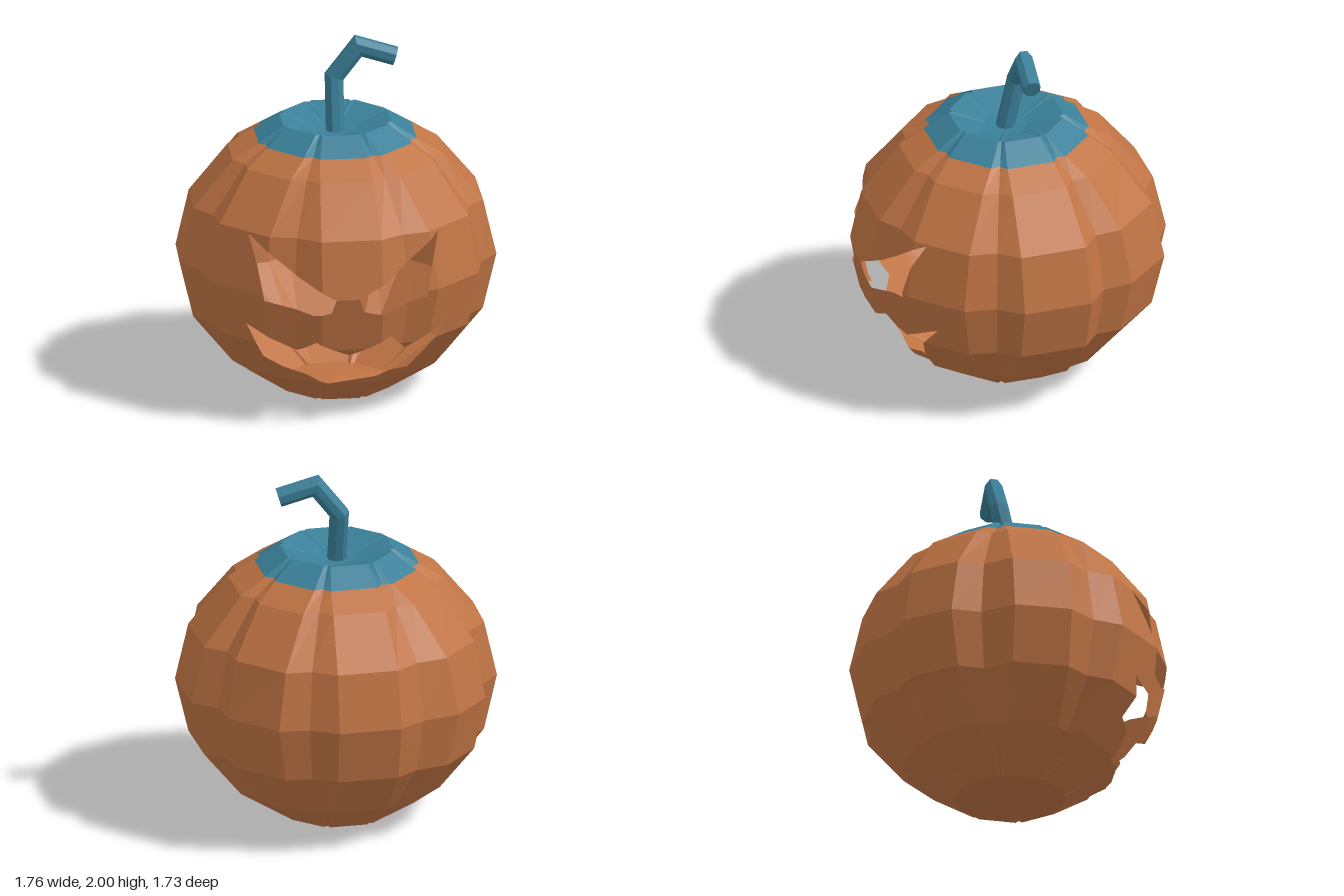
import * as THREE from 'three';

const skin = new THREE.MeshStandardMaterial({ color: 0xc07444, flatShading: true, side: THREE.DoubleSide });
const green = new THREE.MeshStandardMaterial({ color: 0x3a8099, flatShading: true, side: THREE.DoubleSide });

// Lobed outline at the widest height, [x, z] from the front towards +x
const plan = [
  [-0.16, 0.865], [0.18, 0.86], [0.33, 0.77], [0.5, 0.73], [0.75, 0.48], [0.78, 0.3],
  [0.88, 0.17], [0.875, -0.22], [0.75, -0.33], [0.73, -0.5], [0.5, -0.76], [0.33, -0.78],
  [0.18, -0.87], [-0.17, -0.87], [-0.32, -0.77], [-0.53, -0.72], [-0.73, -0.5], [-0.73, -0.33],
  [-0.87, -0.17], [-0.88, 0.15], [-0.77, 0.3], [-0.74, 0.47], [-0.48, 0.73], [-0.31, 0.77],
];

// One ring: the outline scaled by s, blended by k into a plain octagon
function ring([y, s, k]) {
  return plan.map(([x, z], i) => {
    const lobe = Math.floor(i / 3) * 45, part = i % 3;
    const a = THREE.MathUtils.degToRad(lobe + [-19, 19, 22.5][part]);
    const r = part === 2 ? 0.82 : 0.88;
    return new THREE.Vector3(
      s * THREE.MathUtils.lerp(x, r * Math.sin(a), k), y,
      s * THREE.MathUtils.lerp(z, r * Math.cos(a), k));
  });
}

// Triangles between neighbouring rings
function bands(rings) {
  const tris = [];
  for (let j = 0; j + 1 < rings.length; j++) {
    const lo = rings[j], hi = rings[j + 1], n = lo.length;
    for (let i = 0; i < n; i++) {
      const m = (i + 1) % n;
      tris.push([lo[i], lo[m], hi[m]], [lo[i], hi[m], hi[i]]);
    }
  }
  return tris;
}

// Convex polygons to a mesh
function polyMesh(name, polys, material) {
  const pos = [];
  for (const p of polys)
    for (let i = 1; i + 1 < p.length; i++)
      for (const v of [p[0], p[i], p[i + 1]]) pos.push(v.x, v.y, v.z);
  const geo = new THREE.BufferGeometry();
  geo.setAttribute('position', new THREE.Float32BufferAttribute(pos, 3));
  geo.computeVertexNormals();
  const mesh = new THREE.Mesh(geo, material);
  mesh.name = name;
  return mesh;
}

// Split a convex polygon by the line a-b in the xy plane: [left side, right side]
function split(poly, a, b) {
  const side = (p) => (b.x - a.x) * (p.y - a.y) - (b.y - a.y) * (p.x - a.x);
  const left = [], right = [];
  poly.forEach((p, i) => {
    const q = poly[(i + 1) % poly.length], dp = side(p), dq = side(q);
    if (dp >= 0) left.push(p);
    if (dp <= 0) right.push(p);
    if (dp * dq < 0) {
      const c = p.clone().lerp(q, dp / (dp - dq));
      left.push(c);
      right.push(c);
    }
  });
  return [left, right];
}

// Carve an outline straight through the front faces
function carve(polys, outline) {
  const pts = outline.map(([x, y]) => new THREE.Vector2(x, y));
  for (const tri of THREE.ShapeUtils.triangulateShape(pts, [])) {
    const t = tri.map((i) => pts[i]);
    if (THREE.ShapeUtils.area(t) < 0) t.reverse();
    const kept = [];
    for (const poly of polys) {
      if (poly.some((p) => p.z < 0.2)) { kept.push(poly); continue; }
      // Keep the face whole when it does not meet the cutter
      let rest = poly;
      const outside = [];
      for (let e = 0; e < 3 && rest.length > 2; e++) {
        const [inner, outer] = split(rest, t[e], t[(e + 1) % 3]);
        if (outer.length > 2) outside.push(outer);
        rest = inner;
      }
      if (rest.length > 2) kept.push(...outside);
      else kept.push(poly);
    }
    polys = kept;
  }
  return polys;
}

// Angled stem: each ring slides along its segment to the mitre plane of the joint
function stemPolys() {
  const path = [[0, 1.46, 0.01], [0, 1.77, -0.06], [0.135, 1.945, -0.06], [0.34, 1.885, -0.04]]
    .map((p) => new THREE.Vector3(...p));
  const dirs = path.slice(1).map((p, i) => p.clone().sub(path[i]).normalize());
  const sides = 8, rings = [[]];
  for (let i = 0; i < sides; i++) {
    const a = (i + 0.5) / sides * Math.PI * 2;
    rings[0].push(new THREE.Vector3(0.054 * Math.sin(a), 0, 0.054 * Math.cos(a)).add(path[0]));
  }
  dirs.forEach((d, i) => {
    const n = d.clone().add(dirs[i + 1] || d).normalize();
    rings.push(rings[i].map((p) =>
      p.clone().addScaledVector(d, path[i + 1].clone().sub(p).dot(n) / d.dot(n))));
  });
  return [...bands(rings), rings[rings.length - 1]];
}

export function createModel() {
  const group = new THREE.Group();

  // Hollow lobed shell: [height, scale, octagon blend], from the underside up
  let shell = bands([
    [0.03, 0, 1], [0.005, 0.36, 1], [0.195, 0.68, 0.4], [0.465, 0.92, 0.1], [0.78, 1, 0],
    [1.1, 0.92, 0.1], [1.37, 0.68, 0.4], [1.46, 0.52, 0.7],
  ].map(ring));

  // Carved eyes and mouth
  const eye = [[0.525, 1.09], [0.265, 0.89], [0.065, 0.78], [0.09, 0.7], [0.185, 0.677], [0.453, 0.745], [0.485, 0.93]];
  const mouth = [[-0.555, 0.57], [-0.28, 0.44], [-0.185, 0.51], [0, 0.42], [0.23, 0.53],
    [0.315, 0.43], [0.585, 0.585], [0.34, 0.275], [-0.1, 0.195], [-0.455, 0.355]];
  for (const side of [-1, 1]) shell = carve(shell, eye.map(([x, y]) => [side * x - 0.017, y]));
  shell = carve(shell, mouth);
  group.add(polyMesh('shell', shell, skin));

  // Crown with the dimple around the stem
  const crown = bands([[1.46, 0.52, 0.7], [1.55, 0.36, 1], [1.49, 0.14, 1], [1.475, 0, 1]].map(ring));
  group.add(polyMesh('crown', crown, green));

  group.add(polyMesh('stem', stemPolys(), green));
  return group;
}
